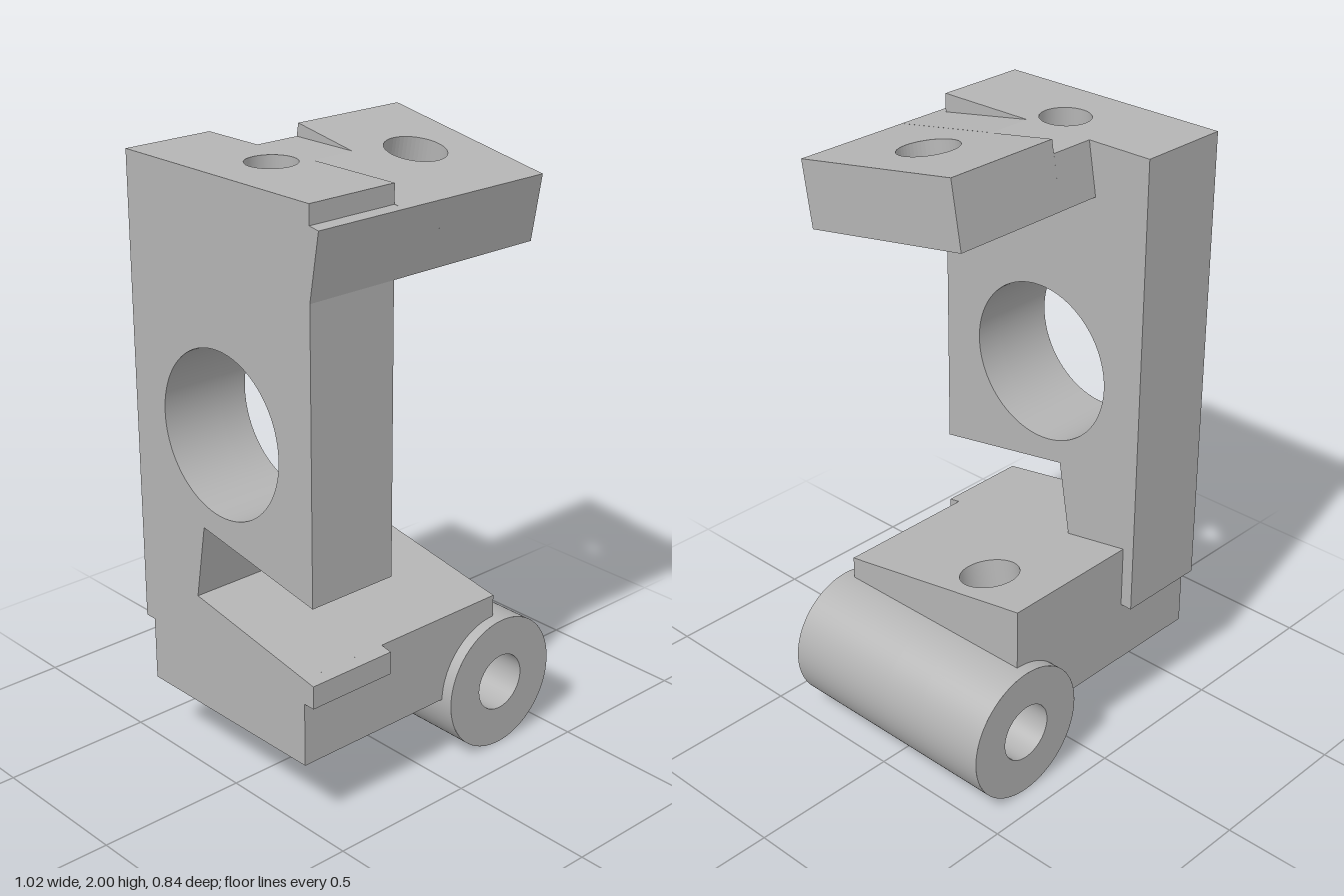
import * as THREE from 'three';

const metal = new THREE.MeshStandardMaterial({ color: 0xb4b4b4, side: THREE.DoubleSide });
metal.name = 'plain grey';

const TILT = Math.PI / 18, COS = Math.cos(TILT), TAN = Math.tan(TILT);
const L = -0.51, PR = -0.2, BR = 0.287;               // left side, plate right, base right
const FRONT = 0.385, BACK = -0.42, TOP = 1.96;        // plate limits
const CX = 0.287, CY = 0.225, R = 0.223, BORE = 0.095; // hinge barrel
const HX = 0.14, HR = 0.095;                          // tilted screw hole

const range = (a, b, n) => Array.from({ length: n + 1 }, (_, i) => a + (b - a) * i / n);
// samples that bunch up at both ends of a circle's width
const across = (c, r) => range(0, Math.PI, 32).map(t => c - r * Math.cos(t));
const around = n => range(0, Math.PI * 2, n);
const chord = (r, d) => Math.sqrt(Math.max(0, r * r - d * d));

// surface spanned by straight lines between two curves
function ruled(samples, a, b) {
  const pos = [], idx = [];
  samples.forEach((u, i) => {
    pos.push(...a(u), ...b(u));
    if (i) { const k = 2 * i; idx.push(k - 2, k, k - 1, k, k + 1, k - 1); }
  });
  const g = new THREE.BufferGeometry();
  g.setAttribute('position', new THREE.Float32BufferAttribute(pos, 3));
  g.setIndex(idx);
  g.computeVertexNormals();
  return g;
}
// ruled bands with gaps: stops(u) lists start, end, start, end...
function bands(samples, point, stops) {
  return range(0, stops(samples[0]).length / 2 - 1, stops(samples[0]).length / 2 - 1 || 1)
    .filter((k, i, all) => all.indexOf(k) === i)
    .map(k => ruled(samples, u => point(u, stops(u)[2 * k]), u => point(u, stops(u)[2 * k + 1])));
}
function part(name, geometries) {
  const g = new THREE.Group();
  g.name = name;
  geometries.forEach((geo, i) => {
    const m = new THREE.Mesh(geo, metal);
    m.name = name + 'Face' + (i + 1);
    g.add(m);
  });
  return g;
}
const shapeOf = pts => new THREE.Shape(pts.map(p => new THREE.Vector2(...p)));
// prism along x from a (z, y) profile
const slab = (pts, x0, x1) => new THREE.ExtrudeGeometry(shapeOf(pts), { depth: x1 - x0, bevelEnabled: false })
  .rotateY(-Math.PI / 2).translate(x1, 0, 0);

// upright plate with slot, large cross hole and a small hole from the top
function plate() {
  const outline = [[FRONT, 0.44], [FRONT, 0.515], [-0.15, 0.609], [-0.108, 0.855], [FRONT, 0.768],
    [FRONT, TOP], [BACK, TOP], [BACK, 0.44]];
  const hz = -0.0175, hy = 1.182, hr = 0.2625, vx = -0.298, vr = 0.079;
  const geos = [L, PR].map(x => {
    const s = shapeOf(outline);
    s.holes.push(new THREE.Path().absarc(hz, hy, hr, 0, Math.PI * 2, true));
    return new THREE.ShapeGeometry(s, 48).rotateY(-Math.PI / 2).translate(x, 0, 0);
  });
  outline.forEach((p, i) => {
    const q = outline[(i + 1) % outline.length];
    if (i !== 5) geos.push(ruled([p, q], e => [L, e[1], e[0]], e => [PR, e[1], e[0]]));
  });
  const gap = z => { const w = chord(vr, z - hz); return [L, vx - w, vx + w, PR]; };
  geos.push(...bands([BACK, ...across(hz, vr), FRONT], (z, x) => [x, TOP, z], gap));
  geos.push(...bands(around(288), (t, x) => [x, hy + hr * Math.sin(t), hz + hr * Math.cos(t)],
    t => Math.sin(t) > 0 ? gap(hz + hr * Math.cos(t)) : [L, vx, vx, PR]));
  const rim = (t, y) => [vx + vr * Math.cos(t), y, hz + vr * Math.sin(t)];
  geos.push(ruled(around(48), t => rim(t, TOP), t => rim(t, hy + chord(hr, vr * Math.sin(t)))));
  return part('uprightPlate', geos);
}

// tilted arm at the top, trimmed level with the plate on its left part
function arm() {
  const x0 = -0.048, x1 = 0.357, len = 0.62, thick = 0.213;
  const s = shapeOf([[x0, 0], [x1, 0], [x1, len], [x0, len]]);
  s.holes.push(new THREE.Path().absarc(HX, 0.31, HR, 0, Math.PI * 2, true));
  const block = new THREE.ExtrudeGeometry(s, { depth: thick, bevelEnabled: false, curveSegments: 24 })
    .rotateX(-Math.PI / 2 + TILT).translate(0, 1.684, FRONT);
  const trimmed = slab([[0.422, 1.894], [0.048, TOP], [-0.196, TOP], [-0.2255, 1.792], [FRONT, 1.684]], PR, x0);
  const lip = slab([[0.422, 1.894], [FRONT, 1.9], [FRONT, 1.684]], L, PR);
  return part('tiltedArm', [block, trimmed, lip]);
}

// the screw hole's axis and slanted base top
const axisZ = y => 0.113 - (1.953 - y) * TAN;
const slopeY = z => 0.515 + (FRONT - z) * TAN;
const barrelY = (x, r, sign) => CY + sign * chord(r, x - CX);

function base() {
  const zf = 0.345, zb = -0.38, yb = 0.23, edge = CX - R;
  const under = x => x <= edge ? yb : barrelY(x, R, 1);
  const xs = [L, ...range(edge, BR, 40)];
  const zTop = (0.113 - (1.953 - 0.515 - FRONT * TAN) * TAN) / (1 + TAN * TAN);
  const zLow = axisZ(yb);
  const geos = [zf, zb].map(z => ruled(xs, x => [x, under(x), z], x => [x, slopeY(z), z]));
  geos.push(ruled([zb, zf], z => [L, yb, z], z => [L, slopeY(z), z]));
  geos.push(ruled([zb, zf], z => [BR, CY + R, z], z => [BR, slopeY(z), z]));
  // slanted top and flat bottom, both open for the screw hole
  geos.push(...bands([L, ...across(HX, HR), BR], (x, z) => [x, slopeY(z), z], x => {
    const w = chord(HR, x - HX) * COS;
    return [zb, zTop - w, zTop + w, zf];
  }));
  geos.push(...bands([L, ...range(HX - HR, edge, 10)], (x, z) => [x, yb, z], x => {
    const w = chord(HR, x - HX) / COS;
    return [zb, zLow - w, zLow + w, zf];
  }));
  // screw hole wall, interrupted by the barrel bore
  const rim = (t, yOf) => {
    const x = HX + HR * Math.cos(t), w = HR * Math.sin(t) / COS, y = yOf(x, w);
    return [x, y, axisZ(y) + w];
  };
  const top = (x, w) => slopeY(zTop + w * COS * COS);
  const exit = x => x <= edge ? yb : barrelY(x, R, -1);
  geos.push(ruled(around(96), t => rim(t, exit), t => rim(t, x => barrelY(x, BORE, -1))));
  geos.push(ruled(around(96), t => rim(t, x => barrelY(x, BORE, 1)), t => rim(t, top)));
  return part('wedgeBase', geos);
}

// hinge barrel with bore, side-cut screw hole and a small hole underneath
function barrel() {
  const hz = -0.02, hr = 0.08;
  const at = (r, t, z) => [CX + r * Math.cos(t), CY + r * Math.sin(t), z];
  const geos = [];
  for (const r of [R, BORE]) {
    geos.push(...bands(around(480), (t, z) => at(r, t, z), t => {
      const [x, y] = at(r, t, 0);
      const w = chord(HR, x - HX) / COS, c = axisZ(y);
      const v = y < CY ? chord(hr, x - CX) : 0;
      const lo = c - w, hi = c + w;
      return [BACK, lo, hi, Math.max(hi, hz - v), Math.max(hi, hz + v), FRONT];
    }));
  }
  for (const z of [BACK, FRONT]) geos.push(ruled(around(96), t => at(BORE, t, z), t => at(R, t, z)));
  const rim = (t, r) => {
    const x = CX + hr * Math.cos(t);
    return [x, barrelY(x, r, -1), hz + hr * Math.sin(t)];
  };
  geos.push(ruled(around(48), t => rim(t, R), t => rim(t, BORE)));
  return part('hingeBarrel', geos);
}

export function createModel() {
  const model = new THREE.Group();
  model.name = 'hingeBracket';
  model.add(plate(), arm(), base(), barrel());
  return model;
}
